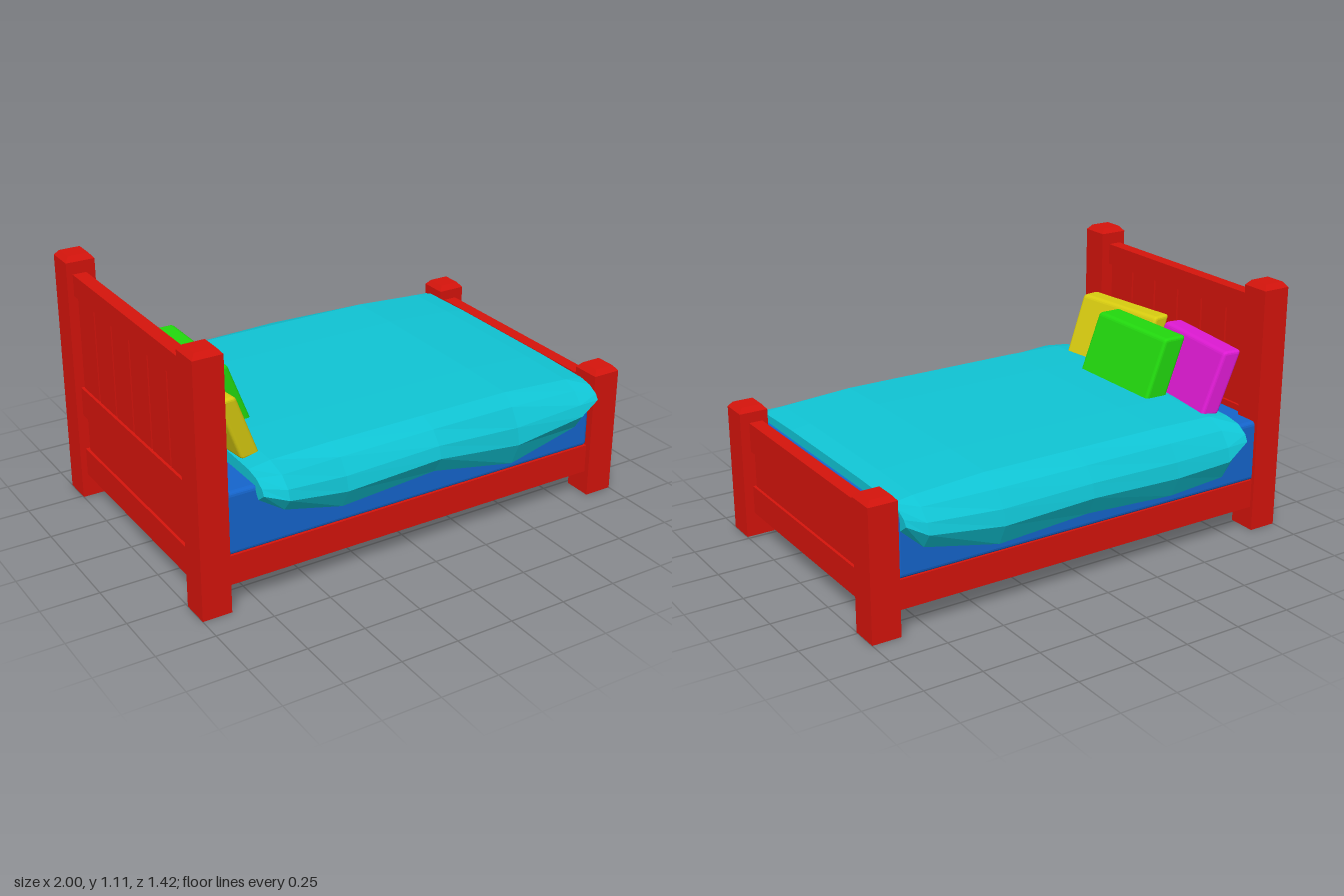
import * as THREE from 'three';
import { RoundedBoxGeometry } from 'three/addons/geometries/RoundedBoxGeometry.js';

const mat = (color, extra = {}) => {
  const m = new THREE.MeshStandardMaterial({ flatShading: true, ...extra });
  m.color.set(color);
  return m;
};
const red = mat(0xd5140c);
const blue = mat(0x1565cc);
const teal = mat(0x10c4d4, { side: THREE.DoubleSide });

export function createModel() {
  const bed = new THREE.Group();
  bed.name = 'bed';

  const add = (name, geometry, material, parent = bed) => {
    const mesh = new THREE.Mesh(geometry, material);
    mesh.name = name;
    parent.add(mesh);
    return mesh;
  };
  // Box given by its lower and upper limits on each axis
  const box = (name, [x0, x1], [y0, y1], [z0, z1], material, parent) => {
    const mesh = add(name, new THREE.BoxGeometry(x1 - x0, y1 - y0, z1 - z0), material, parent);
    mesh.position.set((x0 + x1) / 2, (y0 + y1) / 2, (z0 + z1) / 2);
    return mesh;
  };

  // Square post with a bevelled cap
  const post = (name, x, z, height, parent) => {
    const w = 0.126, bevel = 0.022;
    box(name, [x - w / 2, x + w / 2], [0, height - bevel], [z - w / 2, z + w / 2], red, parent);
    const cap = new THREE.CylinderGeometry((w / 2 - 0.018) * Math.SQRT2, (w / 2) * Math.SQRT2, bevel, 4);
    cap.rotateY(Math.PI / 4);
    add(name + 'Cap', cap, red, parent).position.set(x, height - bevel / 2, z);
  };

  // Two posts joined by a lower rail, a recessed panel and an upper rail
  const endFrame = (name, x, railX, height) => {
    const group = new THREE.Group();
    group.name = name;
    bed.add(group);
    for (const z of [-0.553, 0.579]) post('post', x, z, height, group);
    const span = [-0.5, 0.525], rail = [railX - 0.03, railX + 0.03];
    box('lowerRail', rail, [0.105, 0.23], span, red, group);
    box('panel', [railX - 0.018, railX + 0.018], [0.22, 0.4], [-0.47, 0.505], red, group);
    box('upperRail', rail, [0.39, 0.52], span, red, group);
    return group;
  };
  endFrame('footboard', 0.937, 0.93, 0.588);
  const headboard = endFrame('headboard', -0.937, -0.944, 1.105);
  box('topRail', [-0.974, -0.914], [0.935, 1.03], [-0.5, 0.525], red, headboard);
  for (let i = 0; i < 6; i++) {
    const z = -0.48 + i * 0.166;
    box('slat', [-0.962, -0.926], [0.51, 0.945], [z, z + 0.156], red, headboard);
  }

  // Side rails
  for (const z of [-0.57, 0.587])
    box('sideRail', [-0.89, 0.89], [0.105, 0.232], [z - 0.03, z + 0.03], red);

  // Mattress
  const mattress = add('mattress', new RoundedBoxGeometry(1.79, 0.27, 1.215, 2, 0.018), blue);
  mattress.position.set(-0.018, 0.366, 0.008);

  add('blanket', blanketGeometry(), teal);

  // Pillows: rounded boxes sheared so that they lean on the headboard
  const pillow = (name, color, x, z, length, thickness, yaw) => {
    const g = new RoundedBoxGeometry(thickness, 0.275, length, 2, 0.014);
    const p = g.attributes.position;
    for (let i = 0; i < p.count; i++) p.setX(i, p.getX(i) - 0.38 * p.getY(i));
    g.computeVertexNormals();
    const mesh = add(name, g, mat(color));
    mesh.position.set(x, 0.682, z);
    mesh.rotation.y = yaw;
  };
  pillow('yellowPillow', 0xd8cc10, -0.765, 0.245, 0.485, 0.085, 0.11);
  pillow('greenPillow', 0x22d90e, -0.645, -0.025, 0.485, 0.112, 0);
  pillow('magentaPillow', 0xdd1ad2, -0.762, -0.295, 0.485, 0.085, -0.13);
  return bed;
}

// Draped blanket: thick cross-sections along x, with uneven hems on both sides
function blanketGeometry() {
  // x, top height, front hem, front reach, back hem, back reach
  const stations = [
    [-0.745, 0.553, 0.45, 0.68, 0.43, 0.7],
    [-0.65, 0.566, 0.395, 0.71, 0.32, 0.705],
    [-0.38, 0.572, 0.32, 0.69, 0.3, 0.705],
    [0.05, 0.572, 0.355, 0.695, 0.33, 0.715],
    [0.46, 0.572, 0.265, 0.672, 0.3, 0.705],
    [0.78, 0.552, 0.355, 0.685, 0.36, 0.68],
    [0.868, 0.54, 0.44, 0.675, 0.44, 0.662],
  ];
  // Half of a cross-section, from the middle out to the hem
  const half = (top, hem, reach, sign) => {
    const d = top - hem;
    const outer = [[0.3, top], [0.56, top - 0.006], [reach - 0.06, top - 0.17 * d],
      [reach - 0.015, top - 0.42 * d], [reach, top - 0.66 * d], [reach - 0.045, hem]];
    const inner = [[0.3, 0.5], [0.56, 0.5], [0.605, 0.495],
      [0.612, top - 0.45 * d], [0.615, top - 0.66 * d], [0.62, hem + 0.02]];
    return [outer, inner].map(list => list.map(([z, y]) => [y, z * sign]));
  };
  const rings = stations.map(([x, top, fHem, fReach, bHem, bReach]) => {
    const [fo, fi] = half(top, fHem, fReach, 1);
    const [bo, bi] = half(top, bHem, bReach, -1);
    const outer = [...bo.reverse(), [top, 0], ...fo];
    const inner = [...bi.reverse(), [0.5, 0], ...fi];
    return [...outer, ...inner.reverse()].map(([y, z]) => [x, y, z]);
  });
  const n = rings[0].length, positions = rings.flat(2), index = [];
  const quad = (a, b, c, d) => index.push(a, b, c, a, c, d);
  for (let s = 0; s < rings.length - 1; s++)
    for (let i = 0; i < n; i++) {
      const j = (i + 1) % n;
      quad(s * n + i, s * n + j, (s + 1) * n + j, (s + 1) * n + i);
    }
  // Close both ends between the outer and inner layers
  const last = (rings.length - 1) * n;
  for (let i = 0; i < n / 2 - 1; i++) {
    quad(i, n - 1 - i, n - 2 - i, i + 1);
    quad(last + i, last + i + 1, last + n - 2 - i, last + n - 1 - i);
  }
  const g = new THREE.BufferGeometry();
  g.setAttribute('position', new THREE.Float32BufferAttribute(positions, 3));
  g.setIndex(index);
  g.computeVertexNormals();
  return g;
}
